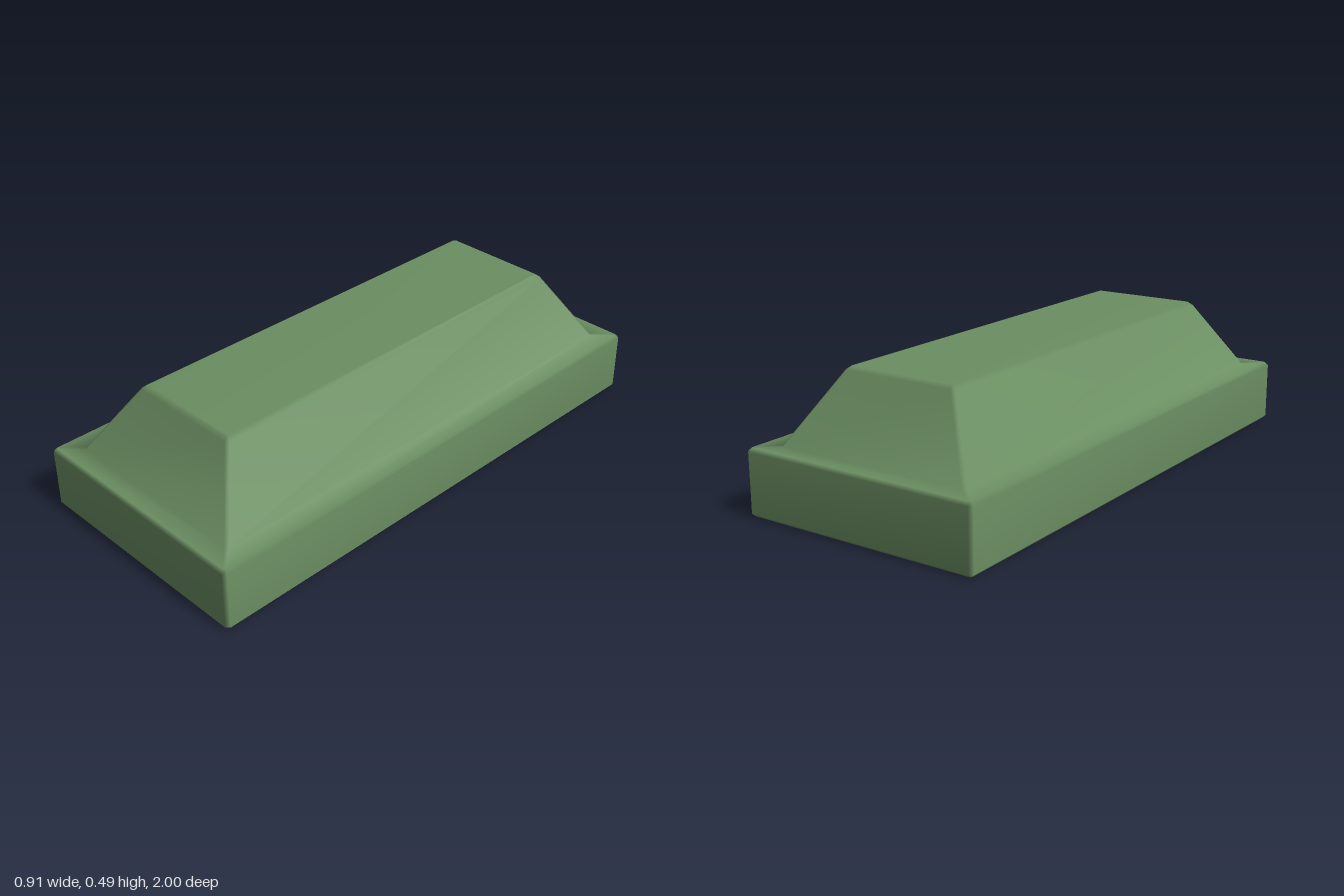
import * as THREE from 'three';

// Cross-sections from bottom to top: height, half width, half length, corner cut
const SECTIONS = [
  [0, 0.443, 0.988, 0.006],
  [0.012, 0.455, 1, 0.012],
  [0.223, 0.455, 1, 0.012],
  [0.235, 0.443, 0.988, 0.006], // rim
  [0.235, 0.375, 0.922, 0.012], // foot of the slope
  [0.482, 0.222, 0.776, 0.012],
  [0.494, 0.205, 0.76, 0.006],  // flat top
];

// Rectangle with cut corners, ordered so that the outside faces out
function ring([y, w, l, c]) {
  return [
    [w, l - c], [w, c - l], [w - c, -l], [c - w, -l],
    [-w, c - l], [-w, l - c], [c - w, l], [w - c, l],
  ].map(([x, z]) => [x, y, z]);
}

function loft(sections) {
  const n = 8;
  const points = sections.flatMap(ring);
  const index = [];
  for (let r = 0; r < sections.length - 1; r++) {
    for (let i = 0; i < n; i++) {
      const a = r * n + i, b = r * n + (i + 1) % n;
      index.push(a, b, b + n, a, b + n, a + n);
    }
  }
  // Bottom and top caps
  const last = (sections.length - 1) * n;
  for (let i = 1; i < n - 1; i++) {
    index.push(0, i + 1, i);
    index.push(last, last + i, last + i + 1);
  }
  const geometry = new THREE.BufferGeometry();
  geometry.setAttribute('position', new THREE.Float32BufferAttribute(points.flat(), 3));
  geometry.setIndex(index);
  geometry.computeVertexNormals();
  return geometry;
}

export function createModel() {
  const group = new THREE.Group();
  group.name = 'bevelledBlock';
  const green = new THREE.MeshStandardMaterial({ color: 0x6b8e62 });
  green.name = 'mossGreen';

  // Base slab and sloped top in one smooth skin
  const body = new THREE.Mesh(loft(SECTIONS), green);
  body.name = 'baseWithSlopedTop';
  group.add(body);
  return group;
}
